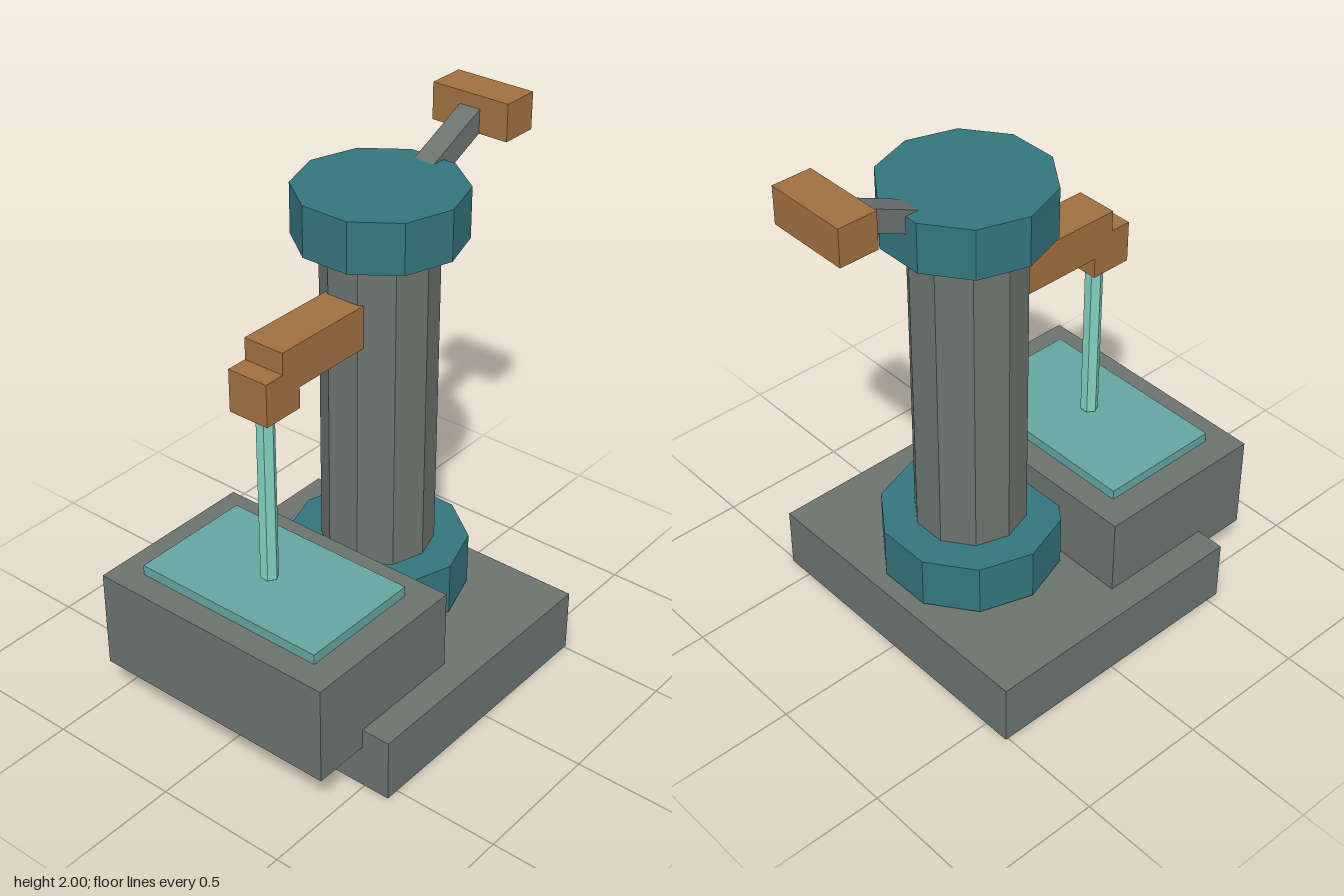
import * as THREE from 'three';

function flat(name, color) {
  const m = new THREE.MeshStandardMaterial({ color });
  m.name = name;
  return m;
}

export function createModel() {
  const group = new THREE.Group();
  const stone = flat('grey stone', 0x6c736f);
  const teal = flat('teal band', 0x34757d);
  const wood = flat('brown wood', 0xa07040);
  const water = flat('water', 0x64a5a0);
  const stream = flat('light water', 0x84d0c0);

  function add(name, geometry, material, x, y, z) {
    const mesh = new THREE.Mesh(geometry, material);
    mesh.name = name;
    mesh.position.set(x, y, z);
    group.add(mesh);
    return mesh;
  }

  // Box given by half width and its y and z ranges
  const box = (name, material, halfX, y0, y1, z0, z1) =>
    add(name, new THREE.BoxGeometry(halfX * 2, y1 - y0, z1 - z0), material, 0, (y0 + y1) / 2, (z0 + z1) / 2);

  // Faceted upright prism with a corner pointing to +x
  const prism = (name, material, radius, sides, y0, y1, z) => {
    const geometry = new THREE.CylinderGeometry(radius, radius, y1 - y0, sides, 1, false, Math.PI / 2)
      .toNonIndexed();
    geometry.computeVertexNormals();
    return add(name, geometry, material, 0, (y0 + y1) / 2, z);
  };

  // Plinth, basin and water surface
  box('plinth', stone, 0.6, 0, 0.24, -0.51, 0.55);
  box('basin', stone, 0.49, 0.165, 0.54, 0.1, 0.765);
  box('waterSurface', water, 0.385, 0.54, 0.578, 0.195, 0.67);

  // Pump column with its two collars
  const columnZ = -0.137;
  prism('column', stone, 0.205, 10, 0.24, 1.7, columnZ);
  prism('lowerCollar', teal, 0.33, 10, 0.25, 0.45, columnZ);
  prism('upperCollar', teal, 0.3, 10, 1.65, 1.836, columnZ);

  // Spout, nozzle and falling stream
  box('spout', wood, 0.08, 1.33, 1.49, 0.03, 0.45);
  box('nozzle', wood, 0.08, 1.252, 1.41, 0.37, 0.53);
  prism('stream', stream, 0.033, 6, 0.59, 1.22, 0.45);

  // Sloping pump arm, sunk into the collar and the grip
  const start = new THREE.Vector3(0, 1.76, -0.3);
  const end = new THREE.Vector3(0, 1.926, -0.66);
  const mid = start.clone().add(end).multiplyScalar(0.5);
  const arm = add('pumpArm', new THREE.BoxGeometry(0.084, 0.08, start.distanceTo(end)), stone, 0, mid.y, mid.z);
  arm.rotation.x = Math.atan2(end.y - start.y, start.z - end.z);
  box('pumpGrip', wood, 0.157, 1.863, 2, -0.765, -0.62);

  return group;
}
